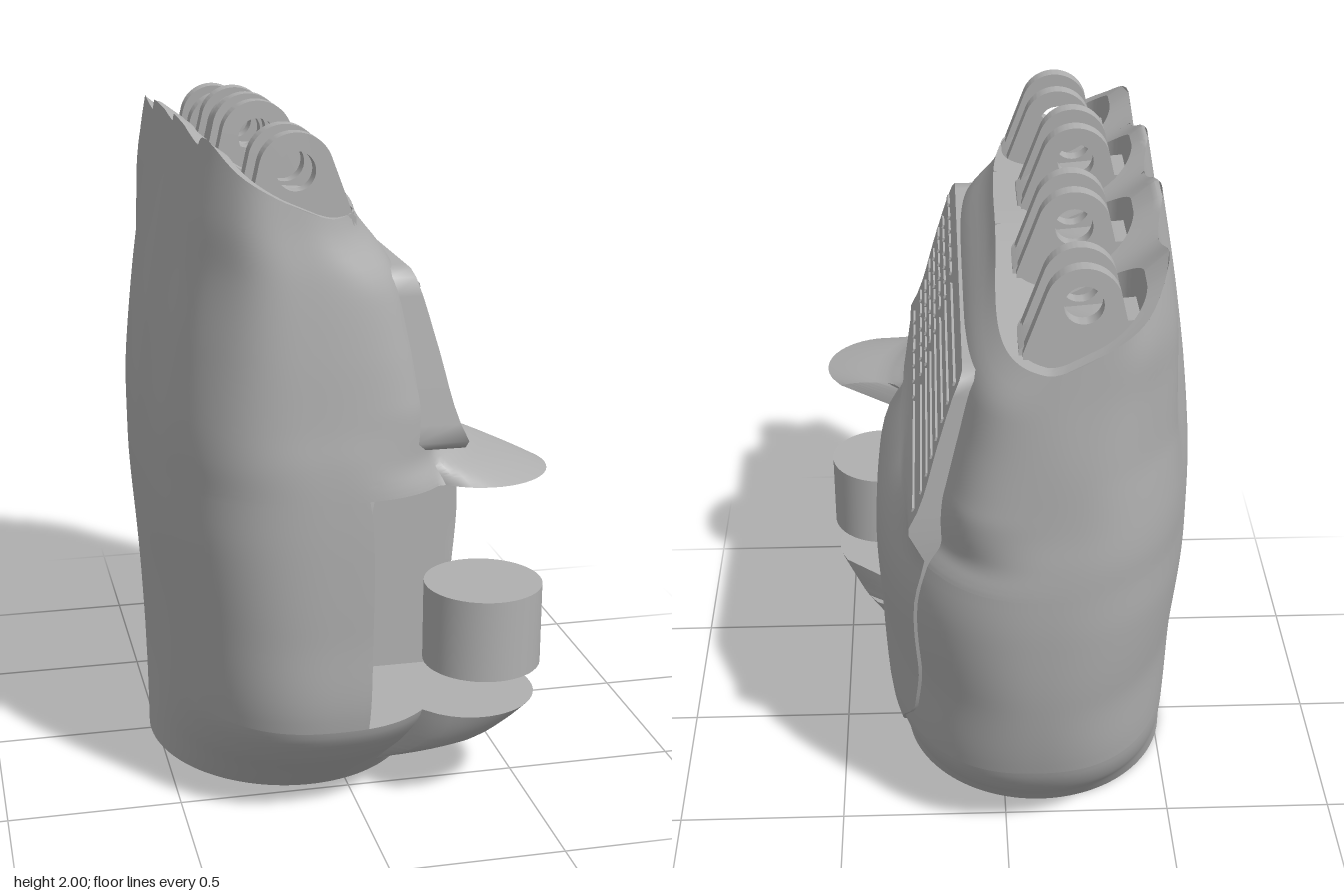
import * as THREE from 'three';
import { toCreasedNormals } from 'three/addons/utils/BufferGeometryUtils.js';

const N = 240; // points around each cross-section
const grey = new THREE.MeshStandardMaterial({ color: 0xb0b0b0, side: THREE.DoubleSide });
grey.name = 'grey plastic';

// height: xMin, xMax, zMax, zMin, squareness
const SECTIONS = [
  [0, -0.52, 0.30, 0.47, -0.44, 2], [0.1, -0.518, 0.31, 0.58, -0.53, 2.1],
  [0.2, -0.515, 0.33, 0.69, -0.625, 2.3], [0.31, -0.515, 0.347, 0.765, -0.685, 2.5],
  [0.6, -0.53, 0.362, 0.79, -0.755, 2.8], [0.85, -0.547, 0.37, 0.805, -0.79, 3],
  [1.0, -0.55, 0.343, 0.81, -0.80, 3], [1.1, -0.55, 0.28, 0.81, -0.80, 3],
  [1.2, -0.545, 0.23, 0.805, -0.795, 3], [1.4, -0.525, 0.175, 0.80, -0.79, 3],
  [1.6, -0.495, 0.11, 0.79, -0.775, 3.1], [1.75, -0.47, 0.015, 0.775, -0.765, 3.4],
  [2.0, -0.425, -0.01, 0.76, -0.74, 3.5],
];
const LOBE = [[0, 0], [0.07, 0], [0.13, 0.3], [0.2, 0.63], [0.31, 0.95],
  [1.0, 1], [1.03, 0.62], [1.06, 0.22], [1.1, 0], [2, 0]];
const FINGERS = [ // z, x shift, y shift, lean
  [0.58, 0, -0.03, 0], [0.2, -0.03, 0, 0], [-0.185, 0, -0.035, 0.04], [-0.57, 0, -0.08, 0.06]];

const smooth = (v, a, b) => THREE.MathUtils.smoothstep(v, a, b);

function linear(table, y, c = 1) {
  let i = 0;
  while (i < table.length - 2 && y > table[i + 1][0]) i++;
  const [p, q] = [table[i], table[i + 1]];
  return p[c] + (q[c] - p[c]) * Math.min(1, Math.max(0, (y - p[0]) / (q[0] - p[0])));
}

// smooth interpolation of one section column
function column(y, c) {
  const T = SECTIONS, last = T.length - 1;
  let i = 0;
  while (i < last - 1 && y > T[i + 1][0]) i++;
  const slope = k => {
    const a = T[Math.max(0, k - 1)], b = T[Math.min(last, k + 1)];
    return (b[c] - a[c]) / (b[0] - a[0]);
  };
  const h = T[i + 1][0] - T[i][0], t = Math.min(1, Math.max(0, (y - T[i][0]) / h));
  const t2 = t * t, t3 = t2 * t;
  return (2 * t3 - 3 * t2 + 1) * T[i][c] + (t3 - 2 * t2 + t) * h * slope(i)
    + (3 * t2 - 2 * t3) * T[i + 1][c] + (t3 - t2) * h * slope(i + 1);
}

// point on the palm skin; mode is 'plain', 'lobe' (thumb base) or 'notch' (thumb cut-out)
function skin(angle, y, mode) {
  const x0 = column(y, 1), x1 = column(y, 2), cx = (x0 + x1) / 2;
  const c = Math.cos(angle), s = Math.sin(angle);
  const a = (x1 - x0) / 2, b = s > 0 ? column(y, 3) : -column(y, 4);
  // rounder little-finger side, flatter upper palm
  let n = column(y, 5);
  n *= 1 - 0.2 * smooth(-s, 0, 0.5) * smooth(y, 0.2, 0.6) * (1 - smooth(y, 1.35, 1.7));
  n += 1.5 * smooth(c, 0, 0.4) * smooth(y, 1.05, 1.25) * (1 - smooth(y, 1.55, 1.72));
  let r = (Math.abs(c / a) ** n + Math.abs(s / b) ** n) ** (-1 / n);
  if (mode === 'lobe') {
    // far side of a round thumb base
    const px = 0.345 - cx, pz = 0.565, along = px * c + pz * s, gap = 0.2 ** 2 - (px * px + pz * pz - along * along);
    if (gap > 0 && along > 0) r += linear(LOBE, y) * Math.max(0, along + Math.sqrt(gap) - r);
  }
  if (mode === 'notch' && c > 0 && s > 0) r = Math.min(r, Math.max(-cx / c, 0.36 / s));
  let x = cx + r * c;
  const z = r * s;
  // valleys between the knuckles on the back of the hand
  if (c < 0) x += 0.035 * smooth(y, 0.9, 1.8) * Math.min(1, -c * 2) * (1 - knuckle(z)) / 2;
  return new THREE.Vector3(x, y, z);
}
const knuckle = z => Math.cos(2 * Math.PI * (z - 0.2) / 0.385);
const tilt = z => -0.085 * smooth(-z, -0.1, 0.85);

// height of the sloping knuckle face
function topY(x, z) {
  const back = Math.min(1, Math.max(0, (-0.1 - x) / 0.32));
  return 1.755 + 0.18 * back ** 1.3 + (0.02 * knuckle(z) * back) + tilt(z) * (1 - 0.35 * back);
}
function topEdge(angle) {
  let p = skin(angle, 1.8, 'plain');
  for (let k = 0; k < 5; k++) p = skin(angle, topY(p.x, p.z), 'plain');
  return p;
}

function mesh(name, geometry, crease = 0.6) {
  const m = new THREE.Mesh(toCreasedNormals(geometry, crease), grey);
  m.name = name;
  return m;
}

// skin over rows of points; closed rows join end to start
function loft(rows, closed) {
  const n = rows[0].length, index = [];
  for (let k = 0; k < rows.length - 1; k++)
    for (let j = 0; j < (closed ? n : n - 1); j++) {
      const a = k * n + j, b = k * n + (j + 1) % n;
      index.push(a, a + n, b, b, a + n, b + n);
    }
  const g = new THREE.BufferGeometry().setFromPoints(rows.flat());
  g.setIndex(index);
  return g;
}
const ring = f => Array.from({ length: N }, (_, j) => f(j / N * 2 * Math.PI));

// face through a loop, with holes, at a given height
function face(loop, holes, height, down = false) {
  const flat = l => l.map(p => new THREE.Vector2(p.x, -p.z));
  const shape = new THREE.Shape(flat(loop));
  shape.holes = holes.map(h => new THREE.Path(flat(h)));
  const g = new THREE.ShapeGeometry(shape).rotateX(-Math.PI / 2), p = g.attributes.position;
  for (let i = 0; i < p.count; i++) p.setY(i, height(p.getX(i), p.getZ(i)));
  if (down) g.index.array.reverse();
  return g;
}
const atY = (loop, f) => loop.map(p => new THREE.Vector3(p.x, f(p.x, p.z), p.z));

function roundedLoop(cx, cz, hx, hz, r) {
  return Array.from({ length: 96 }, (_, i) => {
    const q = Math.floor(i / 24), a = (q + (i % 24) / 23) * Math.PI / 2;
    const sx = q === 0 || q === 3 ? 1 : -1, sz = q < 2 ? 1 : -1;
    return new THREE.Vector3(cx + sx * (hx - r) + r * Math.cos(a), 0, cz + sz * (hz - r) + r * Math.sin(a));
  });
}

// knuckle face around one pocket, out to the hand's edge and the neighbouring cells
function knuckleCell(loop, cx, cz, edge, zLow, zHigh) {
  const outer = loop.map(p => {
    const dx = p.x - cx, dz = p.z - cz;
    let t = dz > 0 ? (zHigh - cz) / dz : (zLow - cz) / dz;
    edge.forEach((e, j) => {
      const f = edge[(j + 1) % N], ex = f.x - e.x, ez = f.z - e.z, det = ex * dz - ez * dx;
      const u = (ex * (e.z - cz) - ez * (e.x - cx)) / det, v = (dx * (e.z - cz) - dz * (e.x - cx)) / det;
      if (u > 0 && v >= 0 && v <= 1) t = Math.min(t, u);
    });
    return new THREE.Vector3(cx + dx * t, 0, cz + dz * t);
  });
  return loft(Array.from({ length: 7 }, (_, k) =>
    atY(outer.map((p, j) => p.clone().lerp(loop[j], k / 6)), topY)), true);
}

// palm-side x of the skin at a height and depth
function palmX(y, z) {
  let lo = -1.45, hi = 1.45;
  for (let k = 0; k < 30; k++) {
    const m = (lo + hi) / 2;
    if (skin(m, y, 'plain').z < z) lo = m; else hi = m;
  }
  return skin(lo, y, 'plain').x;
}
// the pad follows the skin below and is flat above
const padX = (y, z) => THREE.MathUtils.lerp(palmX(y, z), palmX(y, 0), smooth(y, 1.0, 1.14)) + 0.01;

function addPalm(group) {
  const steps = (a, b, n, mode) => Array.from({ length: n + 1 }, (_, k) =>
    ring(t => skin(t, a + (b - a) * k / n, mode)));
  const lower = steps(0, 0.31, 16, 'lobe');
  group.add(mesh('thumbBase', loft(lower, true)));
  group.add(mesh('notchFloor', face(lower[16], [], () => 0.31)));
  group.add(mesh('palmMiddle', loft(steps(0.31, 1, 20, 'notch'), true)));
  const edge = ring(topEdge), upper = [];
  for (let k = 0; k <= 44; k++) {
    const v = (k / 44) ** 1.6;
    upper.push(edge.map((e, j) => k === 44 ? e : skin(j / N * 2 * Math.PI, 1 + v * (e.y - 1), 'lobe')));
  }
  group.add(mesh('palmUpper', loft(upper, true)));
  group.add(mesh('thumbWebUnderside', face(upper[0], [], () => 1, true)));

  // knuckle face with four finger pockets
  const cuts = [1, 0.39, 0.0075, -0.3775, -1];
  FINGERS.forEach(([z, dx], i) => {
    const loop = roundedLoop(-0.19 + dx, z, 0.165, 0.157, 0.125);
    const floor = (x, fz) => 1.715 + tilt(fz);
    group.add(mesh('knuckleFace', knuckleCell(loop, -0.19 + dx, z, edge, cuts[i + 1], cuts[i])));
    group.add(mesh('pocketWall', loft([atY(loop, topY), atY(loop, floor)], true)));
    group.add(mesh('pocketFloor', face(loop, [], floor)));
  });

  // wrist end with stepped rim and hexagonal socket
  const circle = (rx, rz, n) => Array.from({ length: n }, (_, i) => {
    const a = i / n * 2 * Math.PI + Math.PI / 2;
    return new THREE.Vector3(-0.11 + rx * Math.cos(a), 0, 0.015 + rz * Math.sin(a));
  });
  const rim = circle(0.37, 0.41, 64), hex = circle(0.31, 0.31, 6);
  const level = y => () => y;
  group.add(mesh('wristRim', face(lower[0], [rim], level(0), true)));
  group.add(mesh('wristStep', loft([atY(rim, level(0.025)), atY(rim, level(0))], true)));
  group.add(mesh('wristPlate', face(rim, [hex], level(0.025), true)));
  group.add(mesh('hexSocketWall', loft([atY(hex, level(0.15)), atY(hex, level(0.025))], true)));
  group.add(mesh('hexSocketFloor', face(hex, [], level(0.15), true)));
}

// raised palm pad and its grip ridges
function addPad(group) {
  const outline = [[0.14, 0.19, -0.2], [0.17, 0.205, -0.24], [0.4, 0.235, -0.49], [0.6, 0.25, -0.55], [0.95, 0.27, -0.61],
    [1.08, 0.3, -0.617], [1.105, 0.72, -0.617], [1.13, 0.745, -0.617], [1.58, 0.695, -0.605], [1.6, 0.67, -0.58]];
  const ys = [0.14, 0.17];
  for (let y = 0.22; y < 1.06; y += 0.05) ys.push(y);
  ys.push(1.08, 1.105, 1.13);
  for (let y = 1.18; y < 1.57; y += 0.05) ys.push(y);
  ys.push(1.58, 1.6);
  const row = (y, sunk) => Array.from({ length: 31 }, (_, j) => {
    const t = Math.min(1, Math.max(0, (j - 1) / 28));
    const z = THREE.MathUtils.lerp(linear(outline, y, 2), linear(outline, y, 1), t);
    return new THREE.Vector3(sunk || j === 0 || j === 30 ? palmX(y, z) - 0.02 : padX(y, z), y, z);
  });
  const rows = [row(ys[0], true), ...ys.map(y => row(y, false)), row(1.6, true)];
  group.add(mesh('palmPad', loft(rows, false), 0.9));

  const ridge = (y, z, length) => {
    const m = mesh('gripRidge', new THREE.BoxGeometry(0.012, 0.012, length));
    m.position.set(padX(y, z), y, z);
    m.rotation.z = 0.25;
    group.add(m);
  };
  for (let i = 0; i < 8; i++) {
    const y = 1.16 + i * 0.056;
    ridge(y, -0.27, 0.6);
    for (let k = 0; k < 6; k++) ridge(y, 0.1 + k * 0.1 + (i % 2) * 0.04, 0.07);
  }
}

// forked finger hinge: two pierced lugs and a low block between them
function addHinge(group, [z, dx, dy, lean]) {
  const hinge = new THREE.Group();
  hinge.name = 'fingerHinge';
  const lug = new THREE.Shape();
  lug.moveTo(-0.13, -0.19);
  lug.lineTo(0.155, -0.19);
  lug.lineTo(0.155, -0.13);
  lug.absarc(0, 0, 0.1, 0.35, Math.PI * 0.95, false);
  lug.lineTo(-0.13, -0.12);
  const hole = new THREE.Path();
  hole.absarc(0, 0, 0.052, 0, Math.PI * 2, true);
  lug.holes.push(hole);
  const block = new THREE.Shape([[-0.15, -0.19], [0.165, -0.19], [0.165, -0.13], [0.09, -0.07], [-0.15, -0.05]]
    .map(p => new THREE.Vector2(...p)));
  const plate = (name, shape, depth, at) => hinge.add(mesh(name,
    new THREE.ExtrudeGeometry(shape, { depth, bevelEnabled: false, curveSegments: 20 }).translate(0, 0, at - depth / 2)));
  for (const side of [-1, 1]) plate('hingeLug', lug, 0.046, side * 0.074);
  plate('hingeBlock', block, 0.15, 0);
  hinge.position.set(-0.19 + dx, 1.9 + dy, z);
  hinge.rotation.x = lean;
  group.add(hinge);
}

export function createModel() {
  const group = new THREE.Group();
  group.name = 'handPalm';
  addPalm(group);
  addPad(group);
  FINGERS.forEach(f => addHinge(group, f));
  const pin = mesh('thumbPin', new THREE.CylinderGeometry(0.17, 0.17, 0.24, 48));
  pin.position.set(0.375, 0.53, 0.575);
  group.add(pin);
  return group;
}
